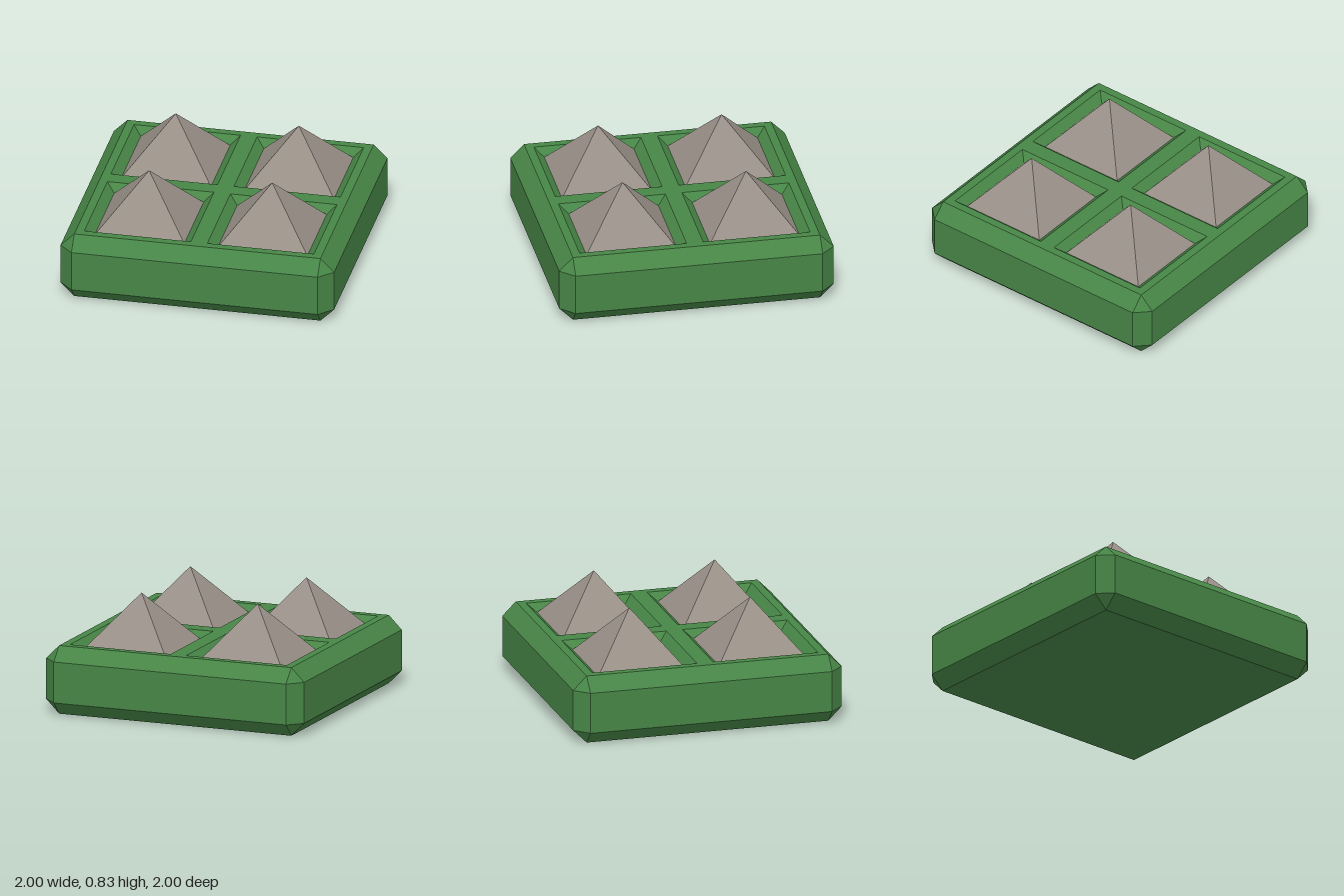
import * as THREE from 'three';

const PITCH = 0.45;     // offset of each pit from the centre lines
const PIT_TOP = 0.39;   // half width of a pit at the rim
const PIT_BASE = 0.327; // half width at the pit floor
const TOP = 0.5, FLOOR = 0.445, APEX = 0.832;

// Square ring of half width w with corners cut by c (two points per corner)
function ring(w, c, y) {
  const points = [];
  let pair = [[w, w - c], [w - c, w]];
  for (let k = 0; k < 4; k++) {
    for (const [x, z] of pair) points.push(new THREE.Vector3(x, y, z));
    pair = pair.map(([x, z]) => [-z, x]);
  }
  return points;
}

// Flat-faced skin through successive rings
function loft(rings) {
  const corners = [];
  const addTriangle = (a, b, c) => {
    if (a.equals(b) || b.equals(c) || a.equals(c)) return;
    corners.push(a, b, c);
  };
  for (let r = 0; r < rings.length - 1; r++) {
    const a = rings[r], b = rings[r + 1];
    for (let i = 0; i < a.length; i++) {
      const j = (i + 1) % a.length;
      addTriangle(a[i], b[i], b[j]);
      addTriangle(a[i], b[j], a[j]);
    }
  }
  const geometry = new THREE.BufferGeometry().setFromPoints(corners);
  geometry.computeVertexNormals();
  return geometry;
}

function squarePath(path, cx, cy, h) {
  path.moveTo(cx - h, cy - h);
  path.lineTo(cx + h, cy - h);
  path.lineTo(cx + h, cy + h);
  path.lineTo(cx - h, cy + h);
  path.closePath();
  return path;
}

export function createModel() {
  const green = new THREE.MeshStandardMaterial({ color: 0x478546 });
  green.name = 'green';
  const stone = new THREE.MeshStandardMaterial({ color: 0x999088 });
  stone.name = 'stone grey';

  const model = new THREE.Group();
  model.name = 'spikeBlock';
  const add = (name, geometry, material, x = 0, z = 0) => {
    const mesh = new THREE.Mesh(geometry, material);
    mesh.name = name;
    mesh.position.set(x, 0, z);
    model.add(mesh);
  };

  // Bevelled sides and closed underside
  add('baseBlock', loft([
    ring(0, 0, 0), ring(0.9, 0, 0), ring(1, 0.1, 0.1), ring(1, 0.1, 0.4), ring(0.9, 0, TOP),
  ]), green);

  // Top plate with four square openings
  const centres = [-PITCH, PITCH].flatMap((x) => [[x, -PITCH], [x, PITCH]]);
  const plate = squarePath(new THREE.Shape(), 0, 0, 0.9);
  for (const [x, z] of centres) plate.holes.push(squarePath(new THREE.Path(), x, z, PIT_TOP));
  add('topPlate', new THREE.ShapeGeometry(plate).rotateX(-Math.PI / 2).translate(0, TOP, 0), green);

  // Sloping pit walls, each with a pyramid spike rising from the floor
  const pit = loft([ring(PIT_TOP, 0, TOP), ring(PIT_BASE, 0, FLOOR)]);
  const spike = loft([ring(PIT_BASE, 0, FLOOR), ring(0, 0, APEX)]);
  for (const [x, z] of centres) {
    const place = (z > 0 ? 'Front' : 'Back') + (x > 0 ? 'Left' : 'Right');
    add('pit' + place, pit, green, x, z);
    add('spike' + place, spike, stone, x, z);
  }
  return model;
}
